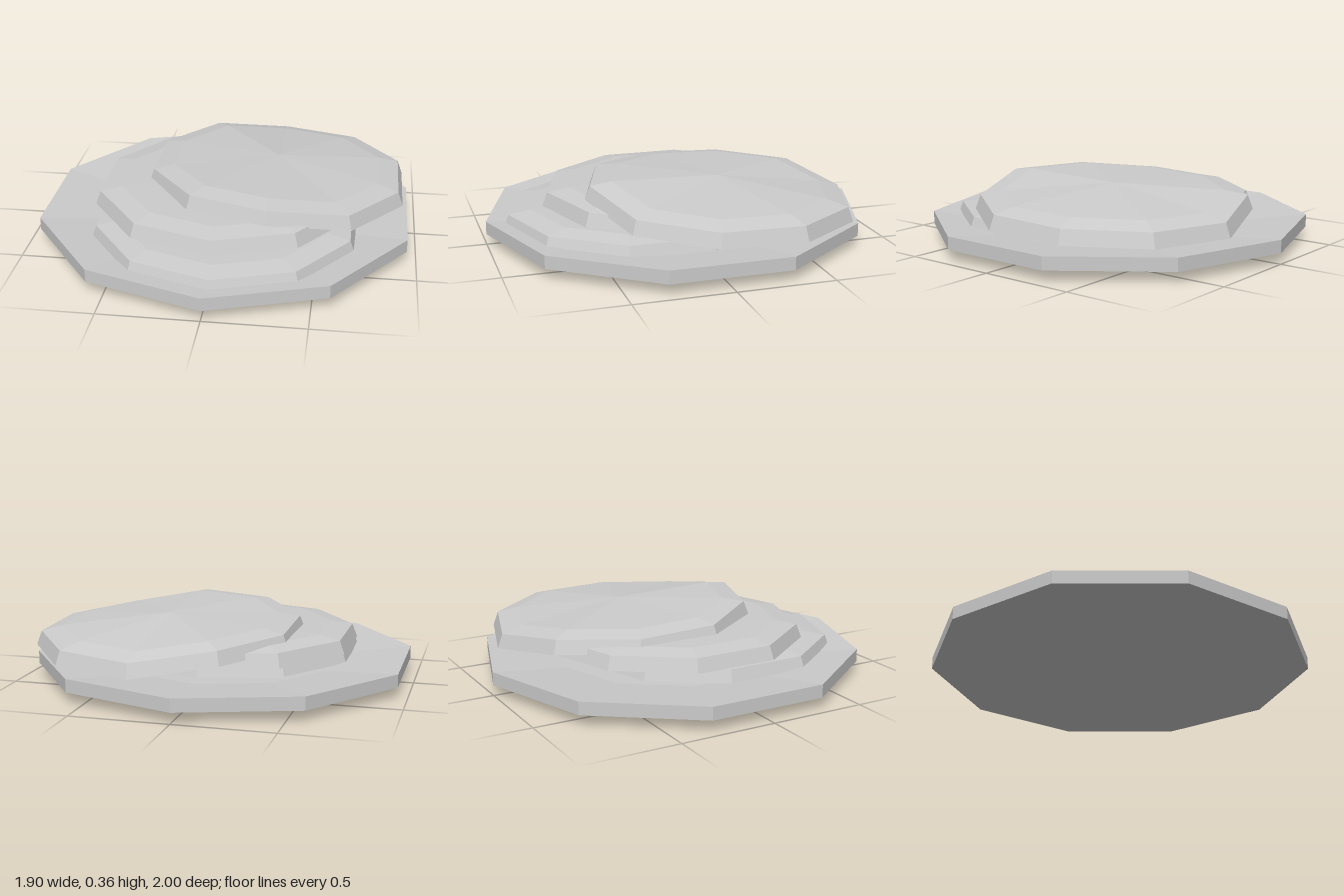
import * as THREE from 'three';

const SIDES = 10;
const RADIUS = 0.705;
const material = new THREE.MeshStandardMaterial({
  color: 0xcccccc, flatShading: true, side: THREE.DoubleSide,
});

// Ten-sided turned shape, profile given as [radius, height] from bottom to top
function turned(name, profile) {
  const points = profile.map(([r, y]) => new THREE.Vector2(r, y));
  const mesh = new THREE.Mesh(new THREE.LatheGeometry(points, SIDES), material);
  mesh.name = name;
  return mesh;
}

// Bends a disc so that each rim corner is shifted by its own height
function droop(geometry, rim) {
  const p = geometry.attributes.position;
  for (let i = 0; i < p.count; i++) {
    const x = p.getX(i), z = p.getZ(i);
    const corner = Math.round(Math.atan2(x, z) / (2 * Math.PI) * SIDES + SIDES) % SIDES;
    p.setY(i, p.getY(i) + rim[corner] * Math.hypot(x, z) / RADIUS);
  }
  geometry.computeVertexNormals();
}

export function createModel() {
  const group = new THREE.Group();
  group.name = 'pancakeStack';

  // Plate: hollow foot, sloping underside, upright rim and shallow dished top
  group.add(turned('plate', [
    [0.6, 0], [1, 0.055], [1, 0.122], [0.6, 0.083], [0, 0.078],
  ]));

  // Pancakes: tapered side, shallow shoulder, almost flat top
  const pancake = [[0, 0], [RADIUS, 0], [0.678, 0.07], [0.565, 0.088], [0, 0.093]];
  const stack = [
    { name: 'bottomPancake', position: [0.022, 0.085, 0.208] },
    { name: 'middlePancake', position: [0, 0.18, 0] },
    { name: 'topPancake', position: [0.254, 0.249, -0.168] },
  ];
  for (const { name, position } of stack) {
    const mesh = turned(name, pancake);
    mesh.position.set(...position);
    group.add(mesh);
  }

  // The top pancake sags where it overhangs the one below (corners from front to left)
  droop(group.getObjectByName('topPancake').geometry,
    [0.023, -0.045, -0.064, -0.072, -0.085, -0.092, -0.035, -0.018, -0.004, 0.02]);
  return group;
}
